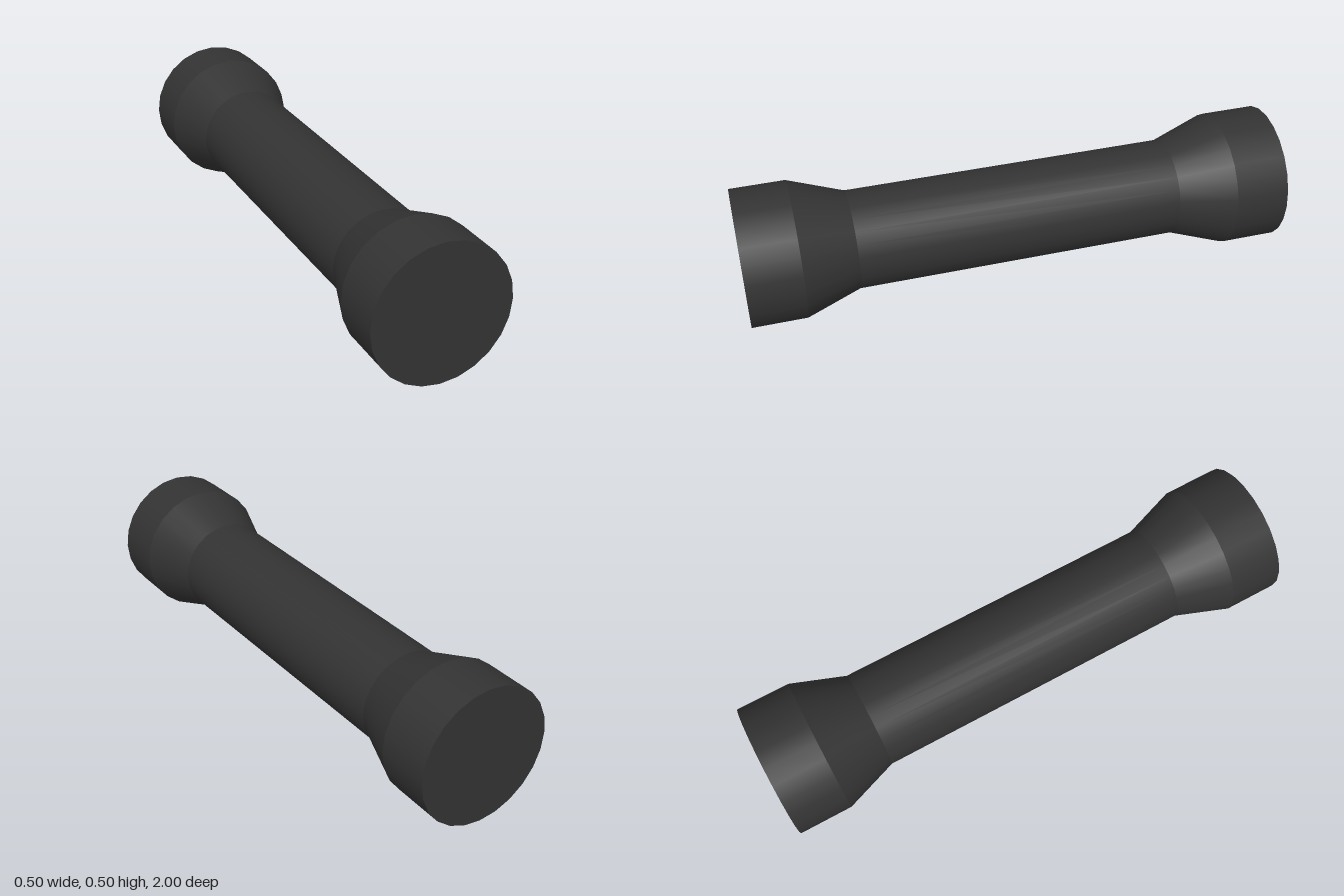
import * as THREE from 'three';

const SIDES = 24;
const HEAD_RADIUS = 0.25;
const ROD_RADIUS = 0.18;

export function createModel() {
  const model = new THREE.Group();
  model.name = 'bar';
  const material = new THREE.MeshStandardMaterial({ color: 0x333333 });

  // Adds an open tube section along z, from z0 (radius r0) to z1 (radius r1).
  function addSection(parent, name, z0, r0, z1, r1) {
    const geometry = new THREE.CylinderGeometry(r1, r0, z1 - z0, SIDES, 1, true);
    geometry.rotateX(Math.PI / 2);
    geometry.translate(0, HEAD_RADIUS, (z0 + z1) / 2);
    const mesh = new THREE.Mesh(geometry, material);
    mesh.name = name;
    parent.add(mesh);
  }

  // Central rod
  addSection(model, 'rod', -0.6, ROD_RADIUS, 0.6, ROD_RADIUS);

  // Flared collar, wide head and flat end cap at each end
  for (const [name, turn] of [['frontEnd', 0], ['backEnd', Math.PI]]) {
    const end = new THREE.Group();
    end.name = name;
    end.rotation.y = turn;
    addSection(end, 'collar', 0.6, ROD_RADIUS, 0.8, HEAD_RADIUS);
    addSection(end, 'head', 0.8, HEAD_RADIUS, 1, HEAD_RADIUS);

    const cap = new THREE.Mesh(new THREE.CircleGeometry(HEAD_RADIUS, SIDES), material);
    cap.name = 'endCap';
    cap.position.set(0, HEAD_RADIUS, 1);
    end.add(cap);
    model.add(end);
  }

  return model;
}
